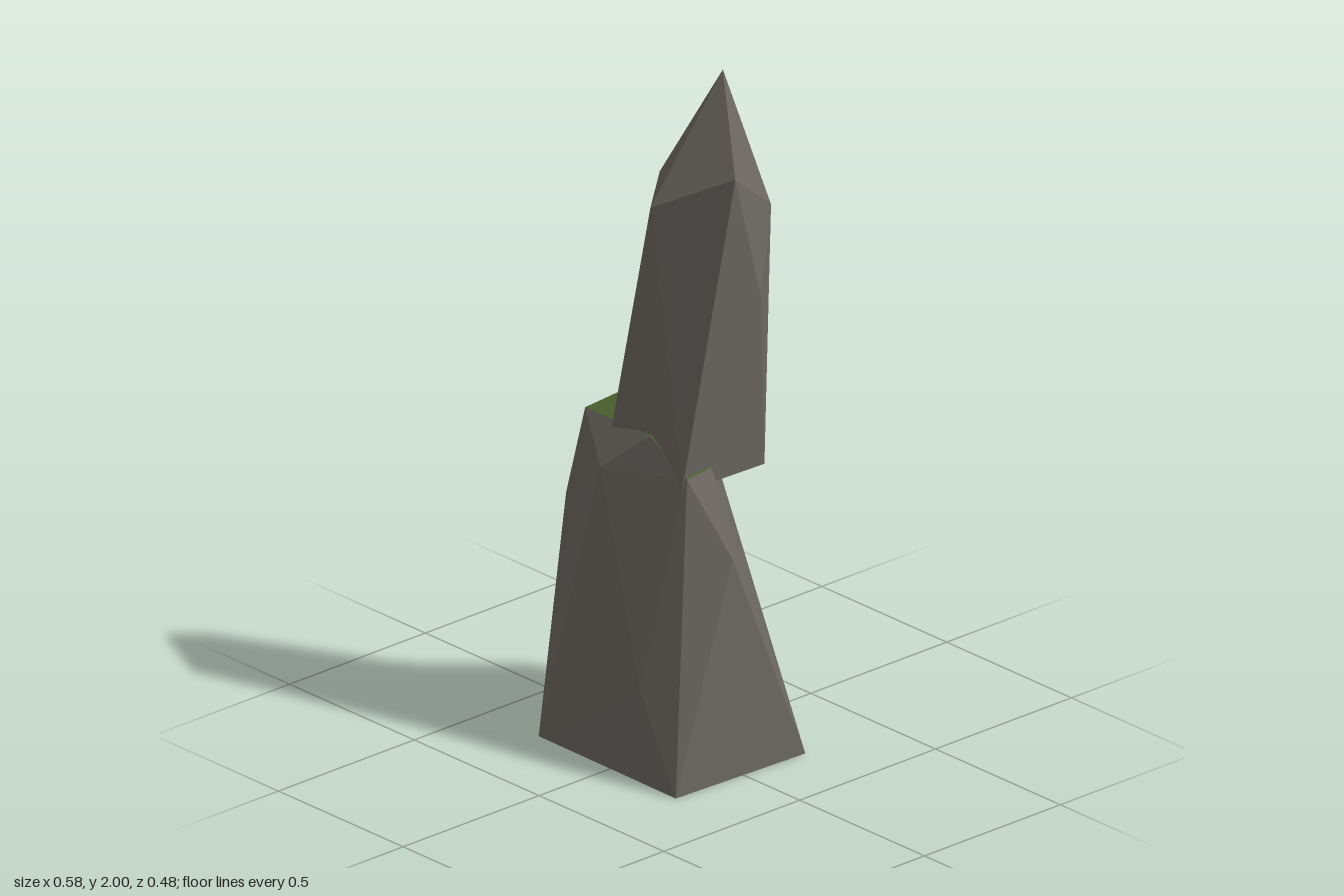
import * as THREE from 'three';
import { ConvexGeometry } from 'three/addons/geometries/ConvexGeometry.js';

const stone = new THREE.MeshStandardMaterial({ color: 0x6e6963 });
stone.name = 'stone grey';
const moss = new THREE.MeshStandardMaterial({ color: 0x4b6230 });
moss.name = 'moss green';

// Faceted boulder spanned by its corner points
function boulder(name, corners) {
  const geometry = new ConvexGeometry(corners.map((c) => new THREE.Vector3(...c)));
  const mesh = new THREE.Mesh(geometry, stone);
  mesh.name = name;
  return mesh;
}

// Gives the upward-facing facets the moss material
function growMoss(mesh, minUp) {
  const normal = mesh.geometry.attributes.normal;
  for (let i = 0; i < normal.count; i += 3) {
    mesh.geometry.addGroup(i, 3, normal.getY(i) > minUp ? 1 : 0);
  }
  mesh.material = [stone, moss];
}

export function createModel() {
  const group = new THREE.Group();
  group.name = 'standingRock';

  const lower = boulder('lowerRock', [
    // footprint
    [-0.29, 0, 0.235], [0.265, 0, 0.24], [0.283, 0, -0.22], [-0.235, 0, -0.19],
    // bulges on the sides
    [-0.247, 0.5, -0.24], [-0.265, 0.71, 0.157], [0.288, 0.66, 0.052],
    [0.12, 0.28, 0.241], [-0.08, 0.86, 0.2],
    // rim of the mossy top
    [-0.218, 0.97, 0.13], [0.06, 0.98, 0.145], [0.19, 0.89, 0.13],
    [0.195, 0.9, 0.045], [-0.08, 1.05, -0.125], [-0.15, 1.03, -0.09],
  ]);
  growMoss(lower, 0.7);
  group.add(lower);

  group.add(boulder('upperRock', [
    // flat underside
    [-0.114, 0.85, 0.15], [0.18, 0.85, 0.14], [0.19, 0.85, -0.155], [-0.115, 0.85, -0.145],
    // shoulders
    [0.03, 1.64, 0.118], [-0.05, 1.69, 0.01], [-0.017, 1.77, -0.12],
    [0.2, 1.62, -0.17], [0.258, 1.39, -0.08], [0.278, 1.78, 0.033],
    // tip
    [0.078, 2, -0.105],
  ]));

  return group;
}
